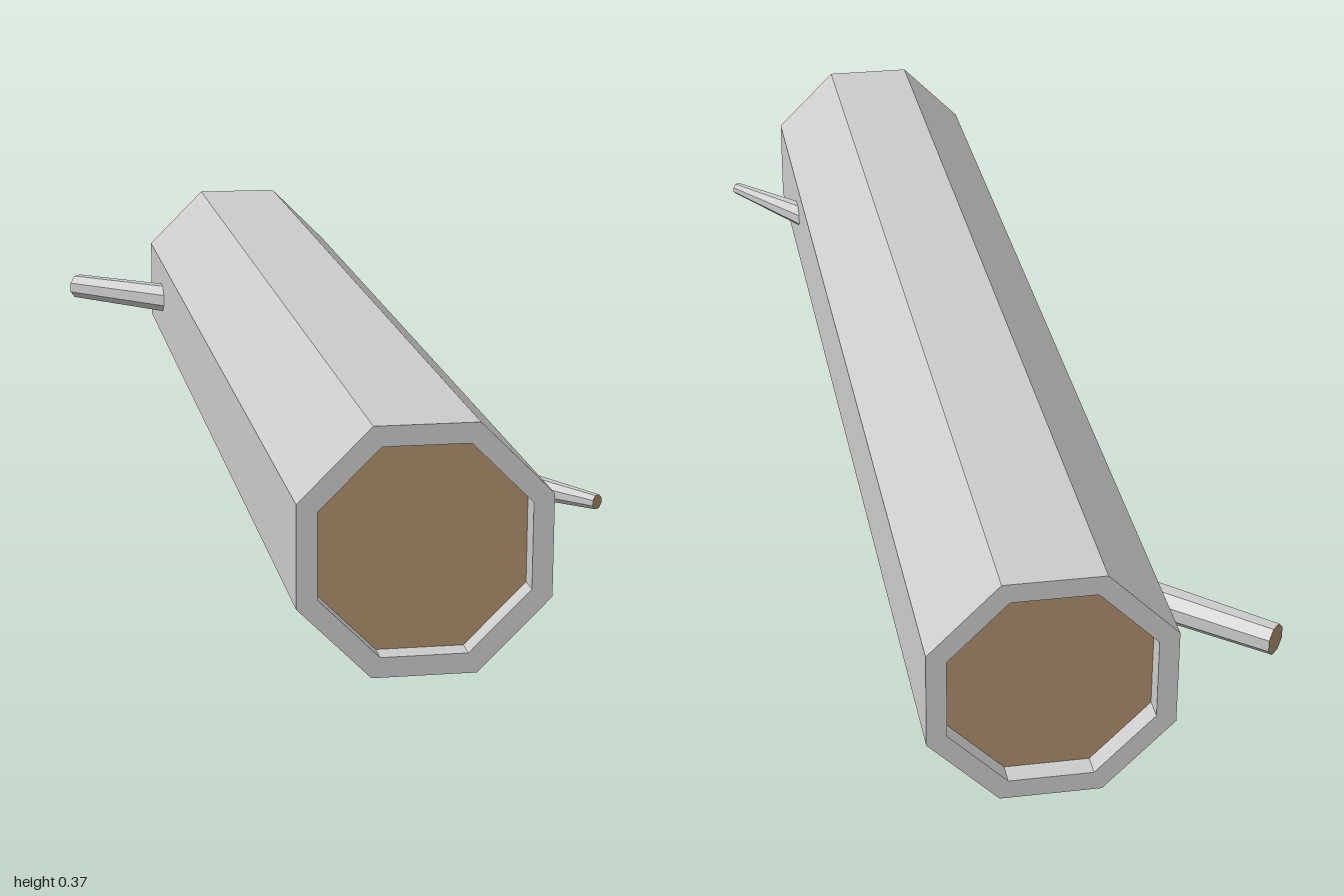
import * as THREE from 'three';

const bark = new THREE.MeshStandardMaterial({ color: 0xcccccc, flatShading: true });
const wood = new THREE.MeshStandardMaterial({ color: 0xaf8f6d, flatShading: true });

const SIDES = 8;
const TURN = Math.PI / SIDES; // puts flat faces at top, bottom and sides
const OUTER = 0.202, INNER = 0.169, RECESS = 0.035;

function named(mesh, name) {
  mesh.name = name;
  return mesh;
}

// Tapered twig running from a point inside the trunk to its cut tip
function makeBranch(name, from, to, baseRadius, tipRadius) {
  const a = new THREE.Vector3(...from), b = new THREE.Vector3(...to);
  const geo = new THREE.CylinderGeometry(tipRadius, baseRadius, a.distanceTo(b), SIDES, 1, false, TURN);
  geo.rotateX(Math.PI / 2);
  const branch = named(new THREE.Mesh(geo, [bark, wood, bark]), name);
  branch.position.copy(a).lerp(b, 0.5);
  branch.lookAt(b);
  return branch;
}

export function createModel() {
  const model = new THREE.Group();
  model.name = 'log';

  // Trunk bark, with a rim and a short inner wall at both ends
  const trunk = new THREE.Group();
  trunk.name = 'trunk';
  trunk.position.set(0.031, 0.1866, 0);
  const profile = [
    [INNER, RECESS - 1], [INNER, -1], [OUTER, -1],
    [OUTER, 1], [INNER, 1], [INNER, 1 - RECESS],
  ].map(([r, y]) => new THREE.Vector2(r, y));
  const barkGeo = new THREE.LatheGeometry(profile, SIDES, TURN);
  barkGeo.rotateX(Math.PI / 2);
  trunk.add(named(new THREE.Mesh(barkGeo, bark), 'trunkBark'));

  // Recessed cut wood at each end
  for (const side of [1, -1]) {
    const cut = new THREE.Mesh(new THREE.CircleGeometry(INNER, SIDES, TURN), wood);
    cut.position.z = side * (1 - RECESS);
    if (side < 0) cut.rotation.y = Math.PI;
    trunk.add(named(cut, side > 0 ? 'frontCutWood' : 'backCutWood'));
  }
  model.add(trunk);

  // Two cut branches on opposite sides
  model.add(makeBranch('leftBranch', [0.185, 0.199, 0.655], [0.326, 0.199, 0.838], 0.025, 0.0115));
  model.add(makeBranch('rightBranch', [-0.12, 0.19, -0.754], [-0.321, 0.19, -0.932], 0.029, 0.0245));
  return model;
}
